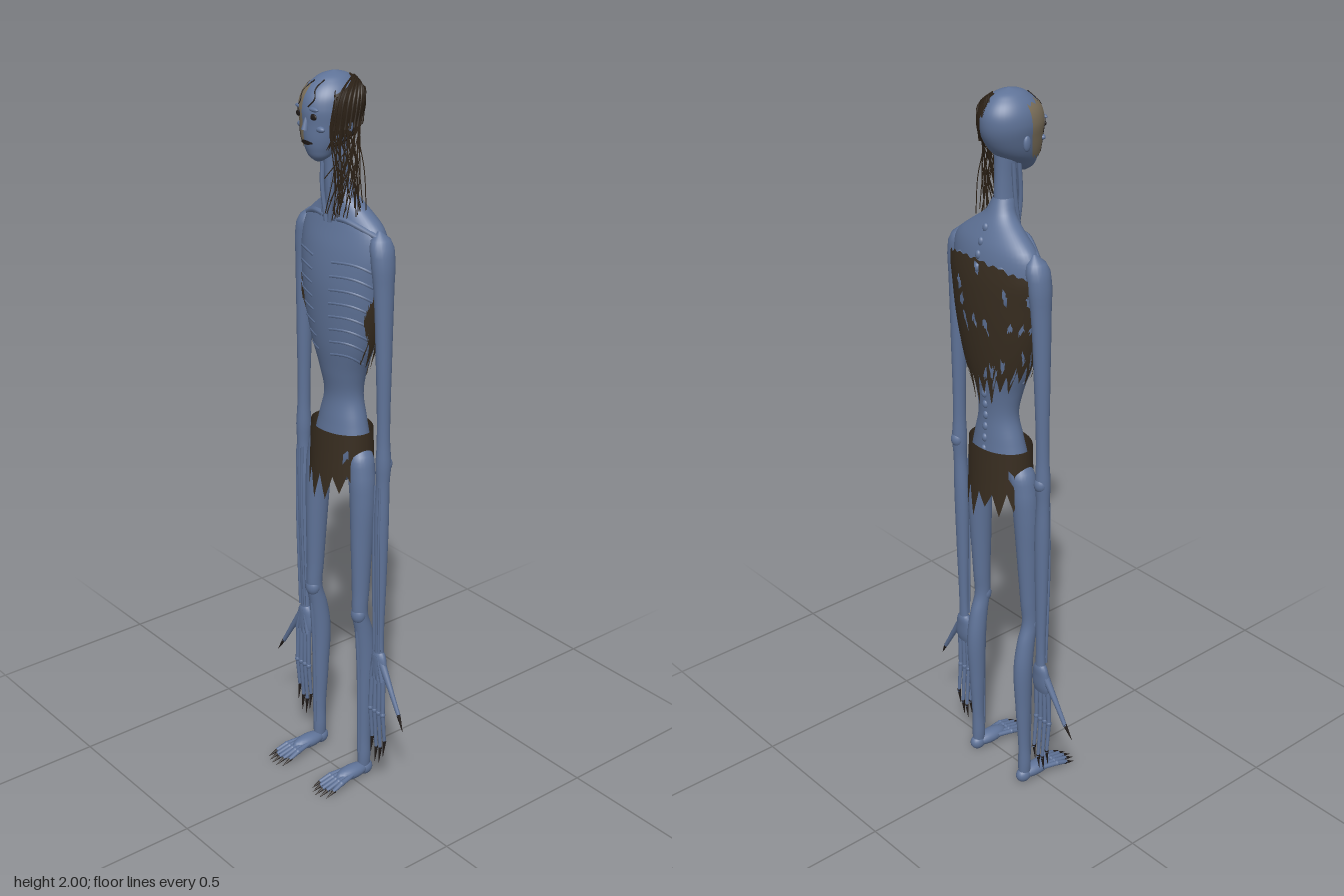
import * as THREE from 'three';
import { mergeVertices } from 'three/addons/utils/BufferGeometryUtils.js';

const mat = (name, color, side = THREE.FrontSide) => {
  const m = new THREE.MeshStandardMaterial({ color, side });
  m.name = name;
  return m;
};
const V = (x, y, z) => new THREE.Vector3(x, y, z);
const TAU = Math.PI * 2;
const rad = THREE.MathUtils.degToRad;

// Smooth body from ellipse rows [y, cx, cz, rx, rz], rising in y.
// Returns a function giving the surface point at angle a (0 = front, 90 deg = +x).
function body(rows, mirror = 1) {
  const curve = new THREE.CubicInterpolant(rows.map(r => r[0]), rows.flatMap(r => r.slice(1)), 4);
  const at = (a, y, off = 0) => {
    const [cx, cz, rx, rz] = curve.evaluate(y);
    return V(mirror * cx + (rx + off) * Math.sin(a), y, cz + (rz + off) * Math.cos(a));
  };
  at.lo = rows[0][0];
  at.hi = rows[rows.length - 1][0];
  return at;
}

// Grid over part of a body; skip(u, v) leaves holes.
function patch(at, a0, a1, lo, hi, off, nA, nY, skip = () => false) {
  const pos = [], idx = [];
  for (let j = 0; j <= nY; j++) for (let i = 0; i <= nA; i++) {
    const a = a0 + (a1 - a0) * i / nA;
    const y = THREE.MathUtils.lerp(lo(a), hi(a), j / nY);
    pos.push(...at(a, y, off).toArray());
    if (i === nA || j === nY || skip(i / nA, j / nY, a, y)) continue;
    const p = j * (nA + 1) + i, q = p + nA + 1;
    idx.push(p, p + 1, q + 1, p, q + 1, q);
  }
  let g = new THREE.BufferGeometry();
  g.setAttribute('position', new THREE.Float32BufferAttribute(pos, 3));
  g.setIndex(idx);
  g = mergeVertices(g, 1e-5);
  g.computeVertexNormals();
  return g;
}
const solid = (at, nA = 24, nY = 40) => patch(at, 0, TAU, () => at.lo, () => at.hi, 0, nA, nY);

// Tapered bone between two points
function bone(a, b, r0, r1, sides = 10) {
  const d = b.clone().sub(a);
  const g = new THREE.CylinderGeometry(r1, r0, d.length(), sides);
  g.applyQuaternion(new THREE.Quaternion().setFromUnitVectors(V(0, 1, 0), d.clone().normalize()));
  return g.translate(...a.clone().add(b).multiplyScalar(0.5).toArray());
}
const ball = (p, rx, ry, rz) => new THREE.SphereGeometry(1, 20, 14).scale(rx, ry, rz).translate(p.x, p.y, p.z);
const tube = (pts, r, n = 16, sides = 6) => new THREE.TubeGeometry(new THREE.CatmullRomCurve3(pts), n, r, sides);
const noise = n => { const s = Math.sin(n * 127.1 + 3.7) * 43758.5453; return s - Math.floor(s); };
// Ragged hem: triangle wave with uneven teeth
const teeth = (a, n) => {
  const t = a / TAU * n, k = Math.floor(t), f = t - k;
  return (1 - Math.abs(2 * f - 1)) * (0.45 + 0.55 * noise(k + n));
};

export function createModel() {
  const root = new THREE.Group();
  const skin = mat('blue skin', 0x5f7398);
  const cloth = mat('ragged cloth', 0x382d20, THREE.DoubleSide);
  const hairMat = mat('hair', 0x2d2217, THREE.DoubleSide);
  const bare = mat('bare bone', 0x7d715c, THREE.DoubleSide);
  const dark = mat('claw and socket', 0x211b19, THREE.DoubleSide);
  const add = (name, g, m) => {
    const mesh = new THREE.Mesh(g, m);
    mesh.name = name;
    root.add(mesh);
  };

  // Torso, with a wide chest and a starved waist
  const torso = body([
    [0.90, 0, -0.04, 0.02, 0.02], [0.95, 0, -0.041, 0.07, 0.045], [1.02, 0, -0.042, 0.09, 0.058],
    [1.08, 0, -0.044, 0.078, 0.052], [1.15, 0, -0.046, 0.061, 0.045], [1.22, 0, -0.043, 0.074, 0.053],
    [1.30, 0, -0.042, 0.104, 0.066], [1.40, 0, -0.042, 0.13, 0.075], [1.48, 0, -0.043, 0.142, 0.077],
    [1.56, 0, -0.047, 0.15, 0.070], [1.62, 0, -0.05, 0.135, 0.056], [1.66, 0, -0.046, 0.085, 0.042],
    [1.69, 0, -0.038, 0.045, 0.034], [1.73, 0, -0.025, 0.026, 0.03]]);
  add('torso', solid(torso, 48, 70), skin);
  for (const s of [-1, 1]) {
    for (let k = 0; k < 8; k++) {
      const pts = [];
      for (let i = 0; i <= 6; i++) {
        pts.push(torso(s * rad(14 + 12 * i), 1.53 - 0.036 * k + 0.012 * Math.sin(i * 0.6) - 0.003 * i, -0.003));
      }
      add('rib', tube(pts, 0.005), skin);
    }
    add('collarbone', tube([V(s * 0.015, 1.635, 0.0), V(s * 0.06, 1.637, -0.004), V(s * 0.145, 1.605, -0.04)], 0.008), skin);
    add('shoulderBlade', ball(V(s * 0.07, 1.53, -0.1), 0.035, 0.06, 0.015), skin);
  }
  for (let y = 0.99; y < 1.68; y += 0.032) add('spineBump', ball(torso(Math.PI, y, -0.002), 0.009, 0.012, 0.008), skin);

  // Neck with tendons
  add('neck', solid(body([[1.64, 0, -0.03, 0.036, 0.036], [1.70, 0, -0.022, 0.027, 0.034],
    [1.78, 0, -0.018, 0.025, 0.034], [1.85, 0, -0.015, 0.03, 0.036]]), 20, 16), skin);
  for (const s of [-1, 1]) {
    add('neckTendon', tube([V(s * 0.026, 1.82, 0), V(s * 0.02, 1.72, 0.01), V(s * 0.007, 1.625, 0.008)], 0.006), skin);
    add('neckTendon', tube([V(s * 0.028, 1.82, -0.02), V(s * 0.027, 1.72, -0.012), V(s * 0.028, 1.63, 0.002)], 0.006), skin);
  }

  // Head
  const head = body([[1.785, 0, 0.035, 0.008, 0.01], [1.795, 0, 0.034, 0.024, 0.024], [1.815, -0.001, 0.026, 0.038, 0.042],
    [1.84, -0.002, 0.01, 0.051, 0.064], [1.88, -0.004, -0.004, 0.062, 0.08], [1.92, -0.006, -0.009, 0.067, 0.086],
    [1.955, -0.006, -0.012, 0.06, 0.077], [1.98, -0.006, -0.014, 0.042, 0.054], [1.994, -0.006, -0.015, 0.022, 0.029],
    [2.0, -0.006, -0.016, 0.001, 0.001]]);
  add('head', solid(head, 40, 60), skin);
  add('nose', bone(V(-0.001, 1.905, 0.071), V(-0.001, 1.868, 0.079), 0.004, 0.009), skin);
  for (const s of [-1, 1]) {
    add('ear', ball(V(-0.005 + s * 0.063, 1.875, -0.012), 0.007, 0.02, 0.011), skin);
    add('cheekbone', ball(head(s * rad(38), 1.872, -0.003), 0.016, 0.008, 0.009), skin);
    add('browRidge', ball(head(s * rad(22), 1.92, -0.003), 0.02, 0.006, 0.007), skin);
    const eye = head(s * rad(24), 1.902, 0);
    add('eyeSocket', ball(eye, 0.013, 0.008, 0.004), dark);
  }
  add('mouth', patch(head, rad(-20), rad(24), a => 1.835 - 0.004 * Math.cos(a * 4),
    a => 1.839 + 0.004 * Math.cos(a * 4), 0.003, 12, 2), dark);
  // Bare skull on the right half of the face
  add('bareSkull', patch(head, rad(-84), rad(-4), a => 1.82 + 0.02 * teeth(a + 8, 26),
    a => 1.962 + 0.018 * teeth(a + 8, 18), 0.0025, 40, 30,
    (u, v, a, y) => Math.hypot((a + rad(24)) * 0.07, (y - 1.902) * 1.5) < 0.014), bare);
  const crack = [[-8, 1.982], [-22, 1.955], [-14, 1.935], [-34, 1.915], [-42, 1.885], [-30, 1.86], [-36, 1.83]];
  add('faceCrack', tube(crack.map(([a, y]) => head(rad(a), y, 0.002)), 0.0022, 36, 5), dark);
  add('browCrack', tube([[30, 1.985], [18, 1.965], [24, 1.945], [12, 1.925]].map(([a, y]) => head(rad(a), y, 0.001)), 0.0018, 20, 5), dark);

  // Hair on the left side only, ending in loose strands
  add('hairCap', patch(head, rad(62), rad(172), a => 1.815 + 0.03 * teeth(a, 40),
    a => 1.955 + 0.036 * Math.min(1, (a - rad(62)) / 1.2), 0.005, 60, 24,
    (u, v, a) => v < 0.25 && noise(Math.floor(u * 60)) < 0.2), hairMat);
  for (let i = 0; i < 44; i++) {
    const n = k => noise(i * 5 + k);
    const a = rad(60 + 85 * n(1));
    const start = head(a, 1.93 + 0.04 * n(2), 0.005), mid = head(a * 0.96, 1.86, 0.009);
    const end = V(0.035 + 0.06 * n(3), 1.65 + 0.12 * n(4) * n(4), -0.045 + 0.1 * n(5));
    const low = mid.clone().lerp(end, 0.5).add(V(0.008, 0, 0));
    add('hairStrand', tube([start, mid, low, end], 0.0016, 12, 4), hairMat);
  }
  for (let i = 0; i < 9; i++) {
    const a = rad(70 + 10 * i);
    add('hairLock', tube([head(rad(176), 1.975 - 0.004 * i, 0.003), head(rad(150 - i * 2), 1.985 - 0.003 * i, 0.006),
      head(a, 1.95, 0.006), head(a - 0.1, 1.87, 0.009)], 0.003, 16, 5), hairMat);
  }

  // Torn shirt over the back and flanks
  const around = a => -Math.cos(a);
  add('tornShirt', patch(torso, rad(64), rad(296),
    a => 1.33 - 0.06 * Math.max(0, around(a)) - 0.1 * teeth(a, 22),
    a => 1.55 + 0.045 * Math.max(0, around(a)) - 0.012 * teeth(a, 30), 0.009, 110, 40,
    (u, v, a, y) => {
      const edge = Math.min(u, 1 - u);
      if (edge < 0.07 * teeth(y * 9, 4) || (edge < 0.05 && v > 0.62 && v < 0.76)) return true;
      const c = Math.floor(u * 15 + v * 2), r = Math.floor(v * 7);
      const fu = u * 15 + v * 2 - c, fv = v * 7 - r;
      return noise(c * 9 + r) < 0.3 && Math.hypot((fu - 0.5) * 2.4, (fv - 0.5) * 1.5) < 0.5;
    }), cloth);

  // Loincloth with a ragged hem, high at the hips
  const wrap = body([[0.8, 0, -0.04, 0.102, 0.082], [0.95, 0, -0.04, 0.1, 0.075], [1.065, 0, -0.04, 0.098, 0.071]]);
  add('loincloth', patch(wrap, 0, TAU, a => 0.965 - 0.03 * Math.abs(Math.cos(a)) - 0.085 * teeth(a, 14),
    () => 1.062, 0, 140, 16, (u, v) => v > 0.3 && v < 0.8 && noise(Math.floor(u * 34) + 40 * Math.floor(v * 5)) < 0.03), cloth);

  for (const s of [-1, 1]) {
    const side = s > 0 ? 'left' : 'right';
    const P = (x, y, z) => V(s * x, y, z);
    const claw = (base, tip, r) => add(side + 'Claw', bone(base, tip, r, 0.0006, 7), dark);

    // Arm
    add(side + 'Arm', solid(body([[0.42, 0.163, -0.04, 0.016, 0.012], [0.47, 0.163, -0.04, 0.014, 0.012],
      [0.65, 0.164, -0.04, 0.018, 0.016], [0.85, 0.165, -0.04, 0.021, 0.02], [0.95, 0.168, -0.041, 0.018, 0.018],
      [1.0, 0.168, -0.042, 0.02, 0.021], [1.06, 0.167, -0.042, 0.017, 0.018], [1.3, 0.163, -0.043, 0.02, 0.022],
      [1.48, 0.158, -0.044, 0.024, 0.028], [1.56, 0.151, -0.045, 0.028, 0.033], [1.6, 0.142, -0.046, 0.024, 0.028],
      [1.622, 0.135, -0.047, 0.004, 0.004]], s), 20, 60), skin);
    add(side + 'Elbow', ball(P(0.168, 1.0, -0.05), 0.018, 0.022, 0.017), skin);
    for (const x of [0.155, 0.175]) {
      add(side + 'ForearmTendon', tube([P(x, 0.94, -0.026), P(x, 0.75, -0.023), P(x - 0.001, 0.44, -0.03)], 0.004), skin);
    }

    // Hand
    add(side + 'Palm', solid(body([[0.345, 0.165, -0.038, 0.026, 0.008], [0.36, 0.165, -0.038, 0.031, 0.012],
      [0.40, 0.164, -0.039, 0.029, 0.014], [0.43, 0.163, -0.04, 0.02, 0.013], [0.44, 0.163, -0.04, 0.01, 0.008]], s), 20, 14), skin);
    for (let f = 0; f < 4; f++) {
      const x = 0.142 + 0.0155 * f, end = [0.14, 0.115, 0.12, 0.15][f];
      const knuckle = P(x, 0.36, -0.034), joint = P(x + 0.002 * (f - 1.5), 0.245, -0.032), tip = P(x + 0.002 * (f - 1.5), end, -0.04);
      add(side + 'Finger', bone(knuckle, joint, 0.0072, 0.0058), skin);
      add(side + 'FingerJoint', ball(joint, 0.0072, 0.009, 0.0075), skin);
      add(side + 'FingerEnd', bone(joint, tip, 0.006, 0.0045), skin);
      add(side + 'HandTendon', bone(P(0.158 + 0.004 * f, 0.425, -0.03), P(x, 0.352, -0.03), 0.004, 0.006), skin);
      claw(tip.clone().setY(end + 0.008), P(x + 0.002 * (f - 1.5), end - 0.042, -0.035), 0.0055);
    }
    add(side + 'Thumb', bone(P(0.178, 0.405, -0.038), P(0.222, 0.335, -0.035), 0.011, 0.0075), skin);
    add(side + 'ThumbEnd', bone(P(0.22, 0.338, -0.035), P(0.258, 0.275, -0.033), 0.0075, 0.0055), skin);
    claw(P(0.256, 0.279, -0.033), P(0.28, 0.238, -0.028), 0.0058);

    // Leg
    add(side + 'Leg', solid(body([[0.02, 0.101, -0.042, 0.014, 0.018], [0.06, 0.101, -0.042, 0.017, 0.019],
      [0.12, 0.101, -0.043, 0.015, 0.018], [0.25, 0.1, -0.046, 0.019, 0.023], [0.4, 0.1, -0.047, 0.024, 0.028],
      [0.48, 0.1, -0.036, 0.022, 0.026], [0.53, 0.1, -0.024, 0.02, 0.023], [0.6, 0.099, -0.026, 0.022, 0.025],
      [0.75, 0.097, -0.03, 0.028, 0.031], [0.88, 0.094, -0.034, 0.034, 0.035], [0.95, 0.088, -0.036, 0.035, 0.036],
      [1.01, 0.078, -0.038, 0.026, 0.028], [1.03, 0.072, -0.038, 0.006, 0.006]], s), 22, 70), skin);
    add(side + 'Kneecap', ball(P(0.1, 0.53, -0.018), 0.022, 0.027, 0.02), skin);
    add(side + 'Shin', tube([P(0.1, 0.48, -0.014), P(0.1, 0.35, -0.021), P(0.1, 0.08, -0.025)], 0.006), skin);

    // Foot
    add(side + 'Heel', ball(P(0.101, 0.022, -0.045), 0.019, 0.022, 0.024), skin);
    add(side + 'Instep', ball(P(0.1, 0.024, 0.0), 0.024, 0.02, 0.056), skin);
    for (let t = 0; t < 5; t++) {
      const u = t / 2 - 1, end = 0.108 - 0.014 * u * u;
      const root0 = P(0.1 + 0.018 * u, 0.026, 0.015), joint = P(0.1 + 0.026 * u, 0.022, 0.06), tip = P(0.1 + 0.03 * u, 0.012, end);
      add(side + 'Toe', bone(root0, joint, 0.007, 0.0075), skin);
      add(side + 'ToeJoint', ball(joint, 0.008, 0.008, 0.009), skin);
      add(side + 'ToeEnd', bone(joint, tip, 0.0075, 0.0055), skin);
      claw(tip.clone().add(V(0, 0.001, -0.006)), P(0.1 + 0.032 * u, 0.002, end + 0.026), 0.006);
    }
  }
  return root;
}
